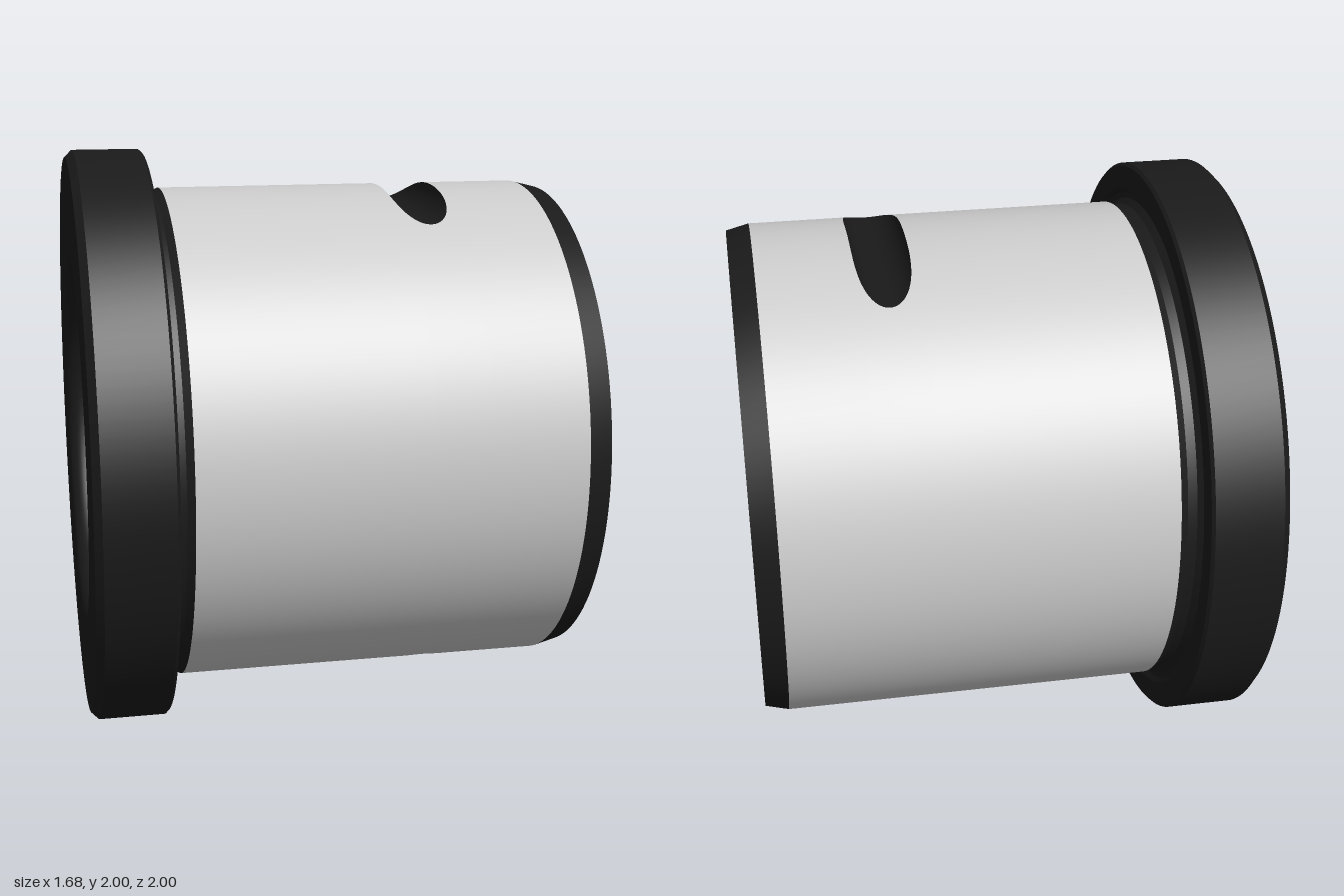
import * as THREE from 'three';
import { toCreasedNormals } from 'three/addons/utils/BufferGeometryUtils.js';

const R = 0.865;                              // sleeve radius
const BORE = 0.6;
const FILLET = 0.06;                          // rounding of the bore mouths
const X0 = -0.84, X1 = 0.84;                  // ends along the axis
const SLEEVE = [-0.52, 0.76];
const NOTCH = { x: 0.345, r: 0.095 };         // round groove cut across top and bottom
const SEG = 128;

// Surface from a rule: f(i, v) returns { p, n } for row i and v in 0..1
function grid(rows, cols, f) {
  const pos = [], nor = [], idx = [];
  for (let i = 0; i <= rows; i++) {
    for (let j = 0; j <= cols; j++) {
      const { p, n } = f(i, j / cols);
      pos.push(...p);
      nor.push(...n);
      if (i < rows && j < cols) {
        const a = i * (cols + 1) + j, b = a + cols + 1;
        idx.push(a, a + 1, b, b, a + 1, b + 1);
      }
    }
  }
  const g = new THREE.BufferGeometry();
  g.setAttribute('position', new THREE.Float32BufferAttribute(pos, 3));
  g.setAttribute('normal', new THREE.Float32BufferAttribute(nor, 3));
  g.setIndex(idx);
  return g;
}

// Profile of [x, radius] pairs turned about the x axis
function turned(profile) {
  const pts = profile.map(([x, r]) => new THREE.Vector2(r, x));
  const g = new THREE.LatheGeometry(pts, SEG).rotateZ(-Math.PI / 2);
  return toCreasedNormals(g, 0.5);
}

export function createModel() {
  const group = new THREE.Group();
  const steel = new THREE.MeshStandardMaterial({ color: 0xcccccc });
  const dark = new THREE.MeshStandardMaterial({ color: 0x1a1a1a });
  const add = (name, geometry, material) => {
    const mesh = new THREE.Mesh(geometry, material);
    mesh.name = name;
    group.add(mesh);
    return mesh;
  };

  // Stations across the notch; t0 is the half angle the notch takes out of the sleeve
  const N = 40;
  const cuts = [];
  for (let k = 0; k <= N; k++) {
    const s = Math.PI * (1 - Math.cos(Math.PI * k / N)) / 2;
    const y = R - NOTCH.r * Math.sin(s);
    cuts.push({ s, y, x: NOTCH.x - NOTCH.r * Math.cos(s), t0: Math.acos(Math.min(1, y / R)) });
  }
  const stations = [{ x: SLEEVE[0], t0: 0 }, ...cuts, { x: SLEEVE[1], t0: 0 }];

  // Sleeve: front and back halves, each stopping at the notch edges
  for (const [name, start] of [['sleeveFront', 0], ['sleeveBack', Math.PI]]) {
    add(name, grid(stations.length - 1, SEG / 2, (i, v) => {
      const { x, t0 } = stations[i];
      const t = start + t0 + (Math.PI - 2 * t0) * v;
      const c = Math.cos(t), s = Math.sin(t);
      return { p: [x, R * c, R * s], n: [0, c, s] };
    }), steel);
  }

  // Notch floors, top and bottom
  const floor = grid(N, 12, (i, v) => {
    const { s, x, y, t0 } = cuts[i];
    return { p: [x, y, R * Math.sin(t0) * (2 * v - 1)], n: [Math.cos(s), Math.sin(s), 0] };
  });
  add('topNotch', floor, dark);
  add('bottomNotch', floor, dark).rotation.x = Math.PI;

  // Flange with chamfered rim and the relief groove beside the sleeve
  add('flange', turned([
    [X0, BORE + FILLET], [X0, 0.975], [X0 + 0.025, 1], [-0.59, 1], [-0.58, 0.99],
    [-0.58, 0.91], [-0.595, 0.895], [-0.595, 0.875], [-0.575, 0.855], [-0.545, 0.852], [SLEEVE[0], R],
  ]), dark);

  // Tapered nose and end face
  add('nose', turned([[SLEEVE[1], R], [X1, 0.845], [X1, BORE + FILLET]]), dark);

  // Bore with rounded mouths at both ends
  const bore = [];
  for (const [end, dir] of [[X1, 1], [X0, -1]]) {
    for (let k = 0; k <= 8; k++) {
      const a = (dir > 0 ? k : 8 - k) / 8 * Math.PI / 2;
      bore.push([end - dir * FILLET * (1 - Math.cos(a)), BORE + FILLET * (1 - Math.sin(a))]);
    }
  }
  add('bore', turned(bore), dark);

  group.children.forEach((m) => { m.position.y = 1; });
  return group;
}
